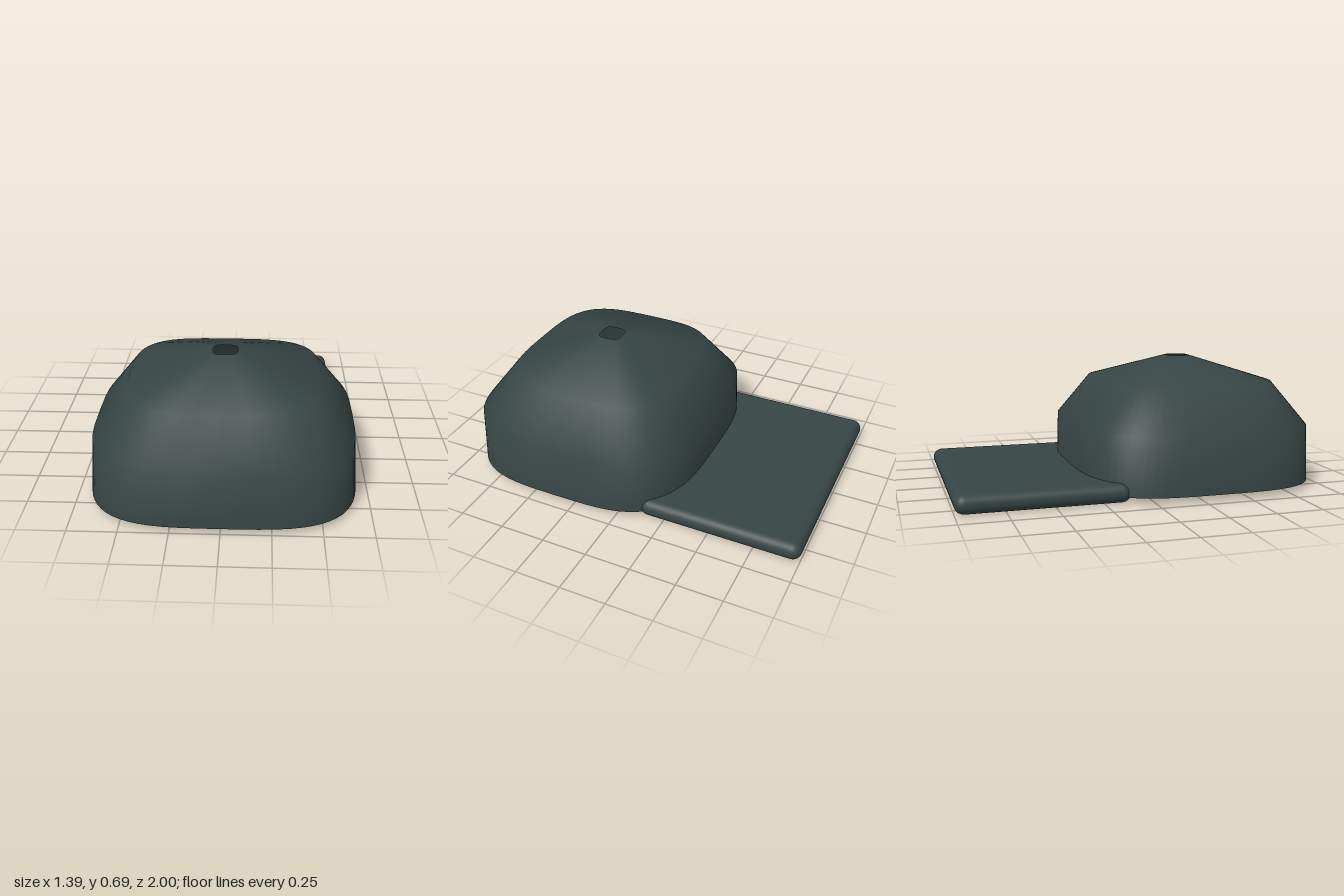
import * as THREE from 'three';
import { RoundedBoxGeometry } from 'three/addons/geometries/RoundedBoxGeometry.js';

const SEGMENTS = 64;

// Rounded-square rings, bottom to top: [height, half width, half depth]
const CROWN_RINGS = [
  [0.03, 0.695, 0.65],
  [0.33, 0.675, 0.645],
  [0.56, 0.5, 0.47],
  [0.69, 0.065, 0.063],
];

// Superellipse coordinate: keeps the sides nearly flat and the corners round
const squarish = (v) => Math.sign(v) * Math.pow(Math.abs(v), 2 / 3.5);

function crownGeometry() {
  const positions = [];
  const indices = [];
  CROWN_RINGS.forEach(([y, halfWidth, halfDepth], ring) => {
    for (let i = 0; i < SEGMENTS; i++) {
      const angle = (i / SEGMENTS) * Math.PI * 2;
      positions.push(halfWidth * squarish(Math.cos(angle)), y, halfDepth * squarish(Math.sin(angle)));
      if (ring === CROWN_RINGS.length - 1) continue;
      const a = ring * SEGMENTS + i;
      const b = ring * SEGMENTS + ((i + 1) % SEGMENTS);
      indices.push(a, a + SEGMENTS, b, b, a + SEGMENTS, b + SEGMENTS);
    }
  });
  const geometry = new THREE.BufferGeometry();
  geometry.setAttribute('position', new THREE.Float32BufferAttribute(positions, 3));
  geometry.setIndex(indices);
  geometry.computeVertexNormals();
  return geometry;
}

export function createModel() {
  const group = new THREE.Group();
  group.name = 'cap';

  const cloth = new THREE.MeshStandardMaterial({ color: 0x364544, side: THREE.DoubleSide });
  cloth.name = 'charcoal cloth';

  // Hollow crown, open below and with a small hole at the top
  const crown = new THREE.Mesh(crownGeometry(), cloth);
  crown.name = 'crown';
  crown.position.z = 0.348;
  group.add(crown);

  // Flat brim with rounded edges, reaching a little way into the crown
  const brim = new THREE.Mesh(new RoundedBoxGeometry(1.25, 0.1, 0.89, 6, 0.049), cloth);
  brim.name = 'brim';
  brim.position.set(0, 0.05, -0.555);
  group.add(brim);

  return group;
}
